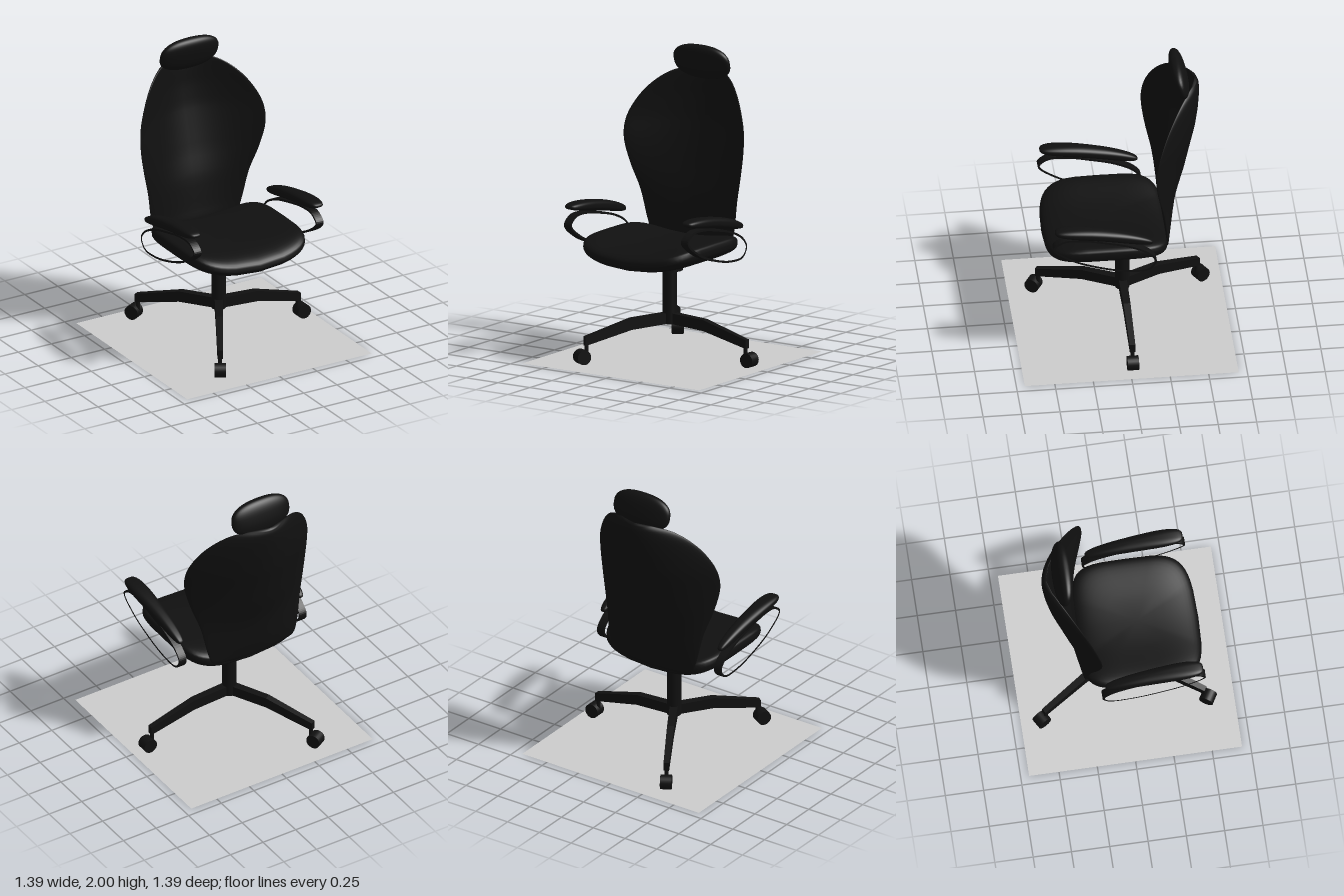
import * as THREE from 'three';
import { mergeVertices } from 'three/addons/utils/BufferGeometryUtils.js';

const black = new THREE.MeshStandardMaterial({ color: 0x101010 });
const grey = new THREE.MeshStandardMaterial({ color: 0xcccccc, side: THREE.DoubleSide });

function add(parent, name, geometry, x = 0, y = 0, z = 0, material = black) {
  const mesh = new THREE.Mesh(geometry, material);
  mesh.name = name;
  mesh.position.set(x, y, z);
  parent.add(mesh);
  return mesh;
}

// Rounded cushion: a sphere squared off in plan and profile, then bent by a rule
function cushion(w, h, d, plan, profile, rule = () => {}) {
  let geo = new THREE.SphereGeometry(1, 48, 24);
  geo.deleteAttribute('uv');
  geo.deleteAttribute('normal');
  geo = mergeVertices(geo);
  const pos = geo.attributes.position;
  const power = (v, e) => Math.sign(v) * Math.abs(v) ** e;
  const v = new THREE.Vector3();
  for (let i = 0; i < pos.count; i++) {
    v.fromBufferAttribute(pos, i);
    const r = Math.hypot(v.x, v.z) || 1e-9;
    const R = r ** profile;
    v.set(w * R * power(v.x / r, plan), h * power(v.y, profile), d * R * power(v.z / r, plan));
    rule(v);
    pos.setXYZ(i, v.x, v.y, v.z);
  }
  geo.computeVertexNormals();
  return geo;
}

// Wrapped backrest shell, lofted from rows of [height, half width, side z, rear z, thickness]
function backrestGeometry() {
  const rows = [
    [0.71, 0.24, -0.28, -0.30, 0.01],
    [0.74, 0.31, -0.28, -0.31, 0.03],
    [0.82, 0.34, -0.275, -0.33, 0.04],
    [1.02, 0.38, -0.25, -0.365, 0.05],
    [1.2, 0.435, -0.21, -0.42, 0.06],
    [1.37, 0.47, -0.19, -0.46, 0.06],
    [1.5, 0.46, -0.21, -0.49, 0.06],
    [1.64, 0.395, -0.265, -0.51, 0.06],
    [1.74, 0.31, -0.33, -0.517, 0.06],
    [1.8, 0.22, -0.39, -0.515, 0.05],
    [1.835, 0.1, -0.46, -0.505, 0.02],
  ];
  const steps = 40, sides = 48, verts = [], index = [];
  const curveA = new THREE.CatmullRomCurve3(rows.map(r => new THREE.Vector3(r[0], r[1], r[2])));
  const curveB = new THREE.CatmullRomCurve3(rows.map(r => new THREE.Vector3(r[3], r[4], 0)));
  const ring = (y, w, edge, rear, th) => {
    for (let j = 0; j < sides; j++) {
      const t = (j / sides) * Math.PI * 2, u = Math.cos(t);
      const mid = rear + th / 2;
      verts.push(w * u, y, mid + (edge - mid) * Math.abs(u) ** 1.8 + (th / 2) * Math.sin(t));
    }
  };
  ring(0.705, 0, -0.295, -0.295, 0);
  for (let i = 0; i <= steps; i++) {
    const a = curveA.getPoint(i / steps), b = curveB.getPoint(i / steps);
    ring(a.x, a.y, a.z, b.x, b.y);
  }
  ring(1.84, 0, -0.49, -0.49, 0);
  for (let i = 0; i < steps + 2; i++) {
    for (let j = 0; j < sides; j++) {
      const k = (j + 1) % sides;
      const a = i * sides + j, b = i * sides + k, c = a + sides, d = b + sides;
      index.push(a, c, b, b, c, d);
    }
  }
  const geo = new THREE.BufferGeometry();
  geo.setAttribute('position', new THREE.Float32BufferAttribute(verts, 3));
  geo.setIndex(index);
  geo.computeVertexNormals();
  return geo;
}

// Flat ribbon bent into a closed loop below the arm pad, drawn in (z, y)
function armLoopGeometry() {
  const path = new THREE.CatmullRomCurve3([
    [0.42, 0.95], [0.478, 0.9], [0.37, 0.81], [0.2, 0.74], [0, 0.694], [-0.14, 0.7],
    [-0.182, 0.76], [-0.14, 0.82], [-0.02, 0.882], [0.14, 0.925], [0.3, 0.955],
  ].map(([z, y]) => new THREE.Vector3(z, y, 0)), true);
  const offset = amount => Array.from({ length: 80 }, (_, i) => {
    const p = path.getPoint(i / 80), t = path.getTangent(i / 80);
    return new THREE.Vector2(p.x - t.y * amount, p.y + t.x * amount);
  });
  const shape = new THREE.Shape(offset(0.007));
  shape.holes.push(new THREE.Path(offset(-0.007)));
  const geo = new THREE.ExtrudeGeometry(shape, { depth: 0.053, bevelEnabled: false });
  return geo.translate(0, 0, -0.0265).rotateY(-Math.PI / 2);
}

// Arched base leg running along +x, wider towards the hub
function legGeometry() {
  const shape = new THREE.Shape([
    [0, 0.225], [0.28, 0.207], [0.609, 0.13], [0.609, 0.188], [0.277, 0.28], [0, 0.295],
  ].map(([x, y]) => new THREE.Vector2(x, y)));
  const geo = new THREE.ExtrudeGeometry(shape, { depth: 0.036, bevelEnabled: false });
  geo.translate(0, 0, -0.018);
  const pos = geo.attributes.position;
  for (let i = 0; i < pos.count; i++) pos.setZ(i, pos.getZ(i) * (1.5 - 0.8 * pos.getX(i)));
  geo.computeVertexNormals();
  return geo;
}

export function createModel() {
  const model = new THREE.Group();
  model.name = 'officeChair';

  // Floor sheet
  add(model, 'floor', new THREE.PlaneGeometry(1.39, 1.39).rotateX(-Math.PI / 2), 0, 0, 0, grey);

  // Three-legged base with casters
  const base = new THREE.Group();
  base.name = 'base';
  base.position.set(-0.03, 0, -0.018);
  model.add(base);
  const legShape = legGeometry();
  for (let i = 0; i < 3; i++) {
    const leg = new THREE.Group();
    leg.name = 'leg';
    leg.rotation.y = (i * Math.PI * 2) / 3;
    base.add(leg);
    add(leg, 'legBeam', legShape);
    add(leg, 'casterPin', new THREE.CylinderGeometry(0.013, 0.013, 0.1, 12), 0.594, 0.11, 0);
    add(leg, 'casterWheel', new THREE.CylinderGeometry(0.048, 0.048, 0.074, 24).rotateX(Math.PI / 2), 0.626, 0.057, 0);
  }
  add(base, 'column', new THREE.CylinderGeometry(0.047, 0.047, 0.4, 24), 0, 0.422, 0);
  add(base, 'seatMount', new THREE.CylinderGeometry(0.085, 0.085, 0.11, 24), 0, 0.63, 0);

  // Dished seat with raised sides
  add(model, 'seat', cushion(0.43, 0.077, 0.4, 0.42, 0.6, v => {
    v.y += 0.07 * (v.x / 0.43) ** 2 - 0.02 * Math.max(0, v.z / 0.4) ** 3 * (v.y > 0 ? 1 : 0);
    v.z -= v.z > 0 ? 0.03 * (v.x / 0.43) ** 2 : 0;
  }), -0.025, 0.712, 0.108);

  // Backrest and headrest
  add(model, 'backrest', backrestGeometry(), -0.042, 0, 0);
  const headrest = add(model, 'headrest', cushion(0.217, 0.116, 0.052, 0.9, 0.8), -0.032, 1.885, -0.385);
  headrest.rotation.x = 0.26;

  // Armrests on both sides
  for (const side of [-1, 1]) {
    const arm = new THREE.Group();
    arm.name = side > 0 ? 'leftArmrest' : 'rightArmrest';
    arm.position.x = -0.027 + side * 0.46;
    model.add(arm);
    const pad = add(arm, 'armPad', cushion(0.064, 0.036, 0.325, 0.6, 0.8, v => {
      v.x *= 0.8 + 0.25 * (v.z / 0.325);
      v.y -= 0.02 * (v.z / 0.325) ** 2 - 0.01;
    }), 0, 0.967, 0.15);
    pad.rotation.x = -0.19;
    add(arm, 'armLoop', armLoopGeometry());
  }
  return model;
}
